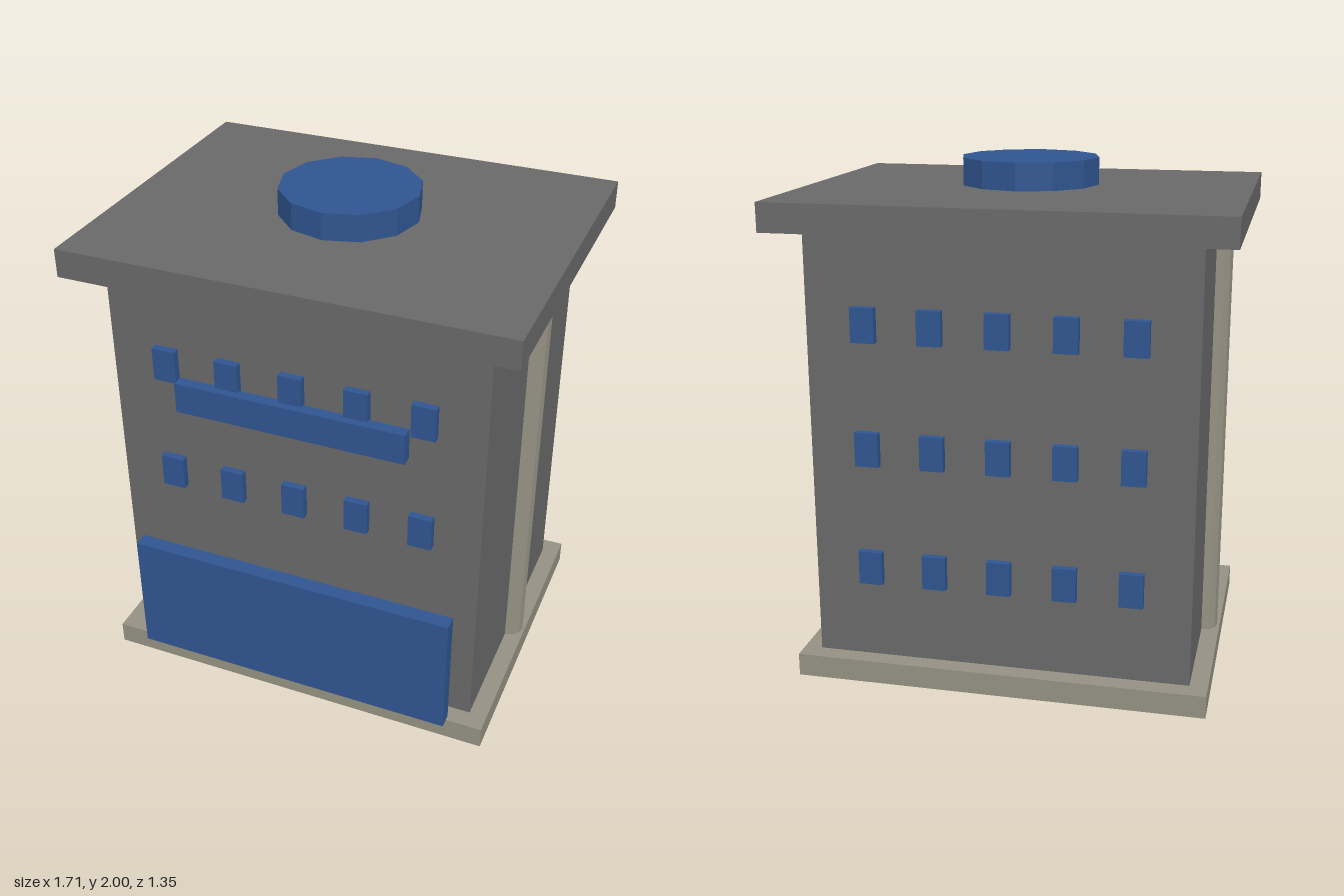
import * as THREE from 'three';

const material = (name, color) => {
  const m = new THREE.MeshStandardMaterial({ color });
  m.name = name;
  return m;
};

export function createModel() {
  const model = new THREE.Group();
  model.name = 'building';

  const grey = material('wall grey', 0x696969);
  const stone = material('pale stone', 0x949082);
  const blue = material('blue', 0x2f5590);

  const add = (name, geometry, mat, x, y, z, parent = model) => {
    const mesh = new THREE.Mesh(geometry, mat);
    mesh.name = name;
    mesh.position.set(x, y, z);
    parent.add(mesh);
    return mesh;
  };

  // Box given by half width, height range and depth range
  const block = (name, mat, halfX, y0, y1, z0, z1) =>
    add(name, new THREE.BoxGeometry(halfX * 2, y1 - y0, z1 - z0), mat, 0, (y0 + y1) / 2, (z0 + z1) / 2);

  // Main masses
  block('base', stone, 0.805, 0, 0.09, -0.623, 0.623);
  block('walls', grey, 0.735, 0.09, 1.765, -0.55, 0.55);
  block('roofSlab', grey, 0.857, 1.774, 1.884, -0.673, 0.673);

  // Shop front and sign
  block('shopFront', blue, 0.66, 0.09, 0.605, 0.6, 0.66);
  block('signBoard', blue, 0.453, 1.26, 1.383, 0.563, 0.61);

  // Twelve-sided rooftop disc, hovering just above the slab
  const discGeometry = new THREE.CylinderGeometry(0.27, 0.27, 0.105, 12).toNonIndexed();
  discGeometry.computeVertexNormals();
  add('roofDisc', discGeometry, blue, 0, 1.9475, 0);

  // Half-sunk columns on both side walls
  const columnGeometry = new THREE.CylinderGeometry(0.06, 0.06, 1.6, 12).toNonIndexed();
  columnGeometry.computeVertexNormals();
  for (const side of [-1, 1]) {
    add(side > 0 ? 'leftColumn' : 'rightColumn', columnGeometry, stone, side * 0.735, 0.89, 0);
  }

  // Three rows of five windows on the front and back
  const windowGeometry = new THREE.BoxGeometry(0.092, 0.133, 0.06);
  for (const face of [1, -1]) {
    const windows = new THREE.Group();
    windows.name = face > 0 ? 'frontWindows' : 'backWindows';
    model.add(windows);
    for (let row = 0; row < 3; row++) {
      for (let col = -2; col <= 2; col++) {
        add('window', windowGeometry, blue, col * 0.254, 0.467 + row * 0.481, face * 0.55, windows);
      }
    }
  }

  return model;
}
